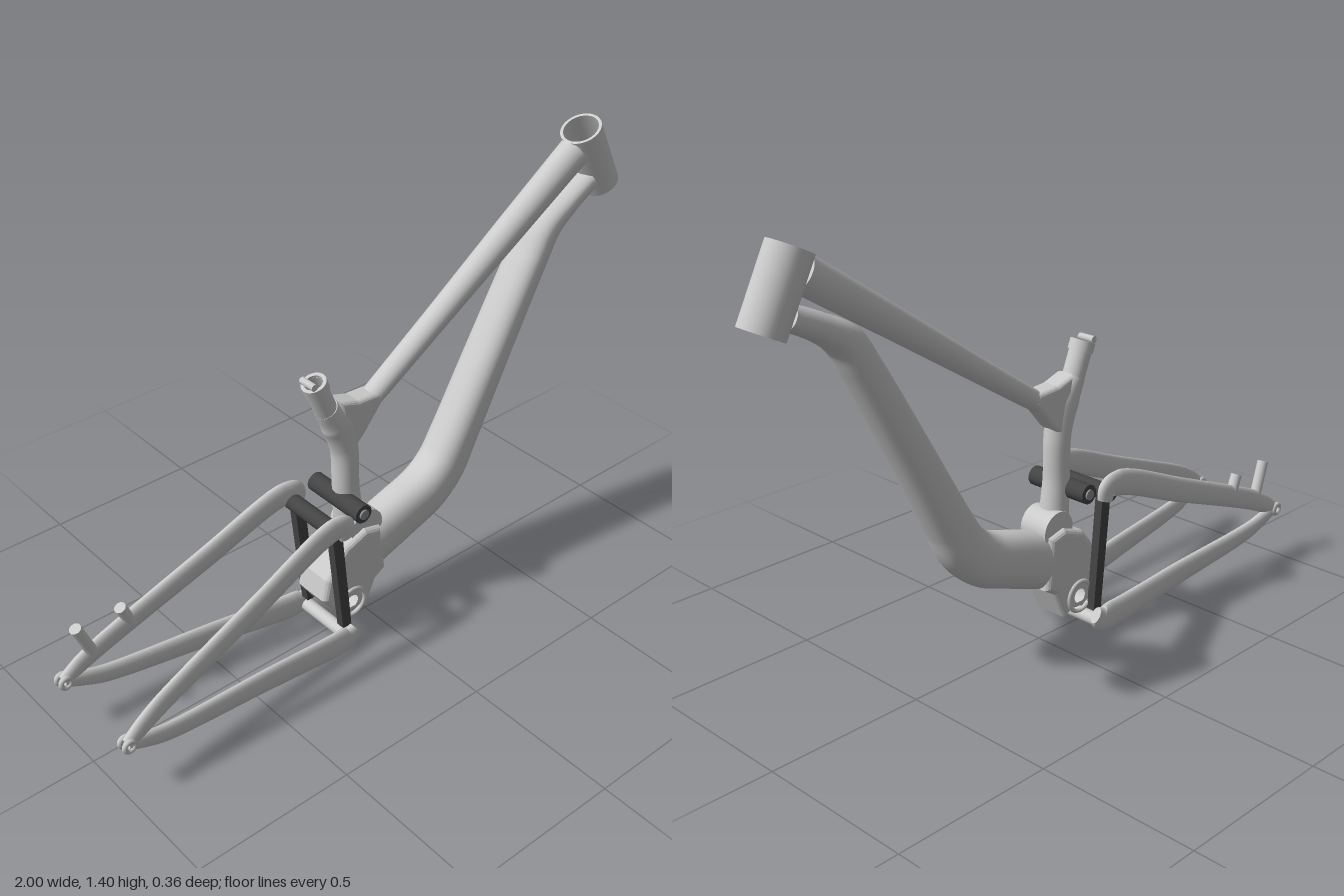
import * as THREE from 'three';

const grey = new THREE.MeshStandardMaterial({ color: 0xcccccc, side: THREE.DoubleSide });
const dark = new THREE.MeshStandardMaterial({ color: 0x444444, side: THREE.DoubleSide });
const steel = new THREE.MeshStandardMaterial({ color: 0x8a8f94 });

function add(group, name, geometry, material = grey) {
  const mesh = new THREE.Mesh(geometry, material);
  mesh.name = name;
  group.add(mesh);
  return mesh;
}

// Sweeps an oval section along stations [x, y, z, radius in the frame plane, radius across].
// power 2 is an ellipse, larger is squarer.
function ovalTube(stations, power = 2, steps = 48, sides = 28) {
  const path = new THREE.CatmullRomCurve3(stations.map(s => new THREE.Vector3(s[0], s[1], s[2])), false, 'centripetal');
  const lerp = THREE.MathUtils.lerp;
  const pos = [], idx = [];
  const rings = [];
  for (let i = 0; i <= steps; i++) {
    const u = i / steps * (stations.length - 1);
    const k = Math.min(Math.floor(u), stations.length - 2);
    const a = stations[k], b = stations[k + 1], f = u - k;
    const c = path.getPoint(i / steps), t = path.getTangent(i / steps);
    const n = new THREE.Vector3(-t.y, t.x, 0).normalize();
    const ring = [];
    for (let j = 0; j < sides; j++) {
      const w = j / sides * Math.PI * 2, e = 2 / power;
      const p = Math.sign(Math.cos(w)) * Math.abs(Math.cos(w)) ** e * lerp(a[3], b[3], f);
      const q = Math.sign(Math.sin(w)) * Math.abs(Math.sin(w)) ** e * lerp(a[4], b[4], f);
      ring.push([c.x + n.x * p, c.y + n.y * p, c.z + q]);
    }
    rings.push({ ring, c });
    ring.forEach(v => pos.push(...v));
  }
  for (let i = 0; i < steps; i++) for (let j = 0; j < sides; j++) {
    const a = i * sides + j, b = i * sides + (j + 1) % sides;
    idx.push(a, b, b + sides, a, b + sides, a + sides);
  }
  // Flat end caps
  [[rings[0], true], [rings[steps], false]].forEach(([r, start]) => {
    const base = pos.length / 3;
    pos.push(r.c.x, r.c.y, r.c.z);
    r.ring.forEach(v => pos.push(...v));
    for (let j = 0; j < sides; j++) {
      const a = base + 1 + j, b = base + 1 + (j + 1) % sides;
      idx.push(base, start ? b : a, start ? a : b);
    }
  });
  const g = new THREE.BufferGeometry();
  g.setAttribute('position', new THREE.Float32BufferAttribute(pos, 3));
  g.setIndex(idx);
  g.computeVertexNormals();
  return g;
}

// Solid rod between two points
function rod(a, b, r, sides = 24) {
  const p = new THREE.Vector3(...a), q = new THREE.Vector3(...b), d = q.clone().sub(p);
  const g = new THREE.CylinderGeometry(r, r, d.length(), sides);
  g.applyQuaternion(new THREE.Quaternion().setFromUnitVectors(new THREE.Vector3(0, 1, 0), d.clone().normalize()));
  return g.translate(...p.add(q).multiplyScalar(0.5).toArray());
}

// Hollow sleeve between two points in the frame plane
function sleeve(a, b, r, inner) {
  const h = Math.hypot(b[0] - a[0], b[1] - a[1]) / 2;
  const profile = [[inner, -h], [r, -h], [r, -h], [r, h], [r, h], [inner, h], [inner, h], [inner, -h]];
  const g = new THREE.LatheGeometry(profile.map(p => new THREE.Vector2(...p)), 40);
  g.rotateZ(Math.atan2(b[1] - a[1], b[0] - a[0]) - Math.PI / 2);
  return g.translate((a[0] + b[0]) / 2, (a[1] + b[1]) / 2, 0);
}

// Plate cut in the frame plane, centred on z = 0
function plate(points, depth, bevel, hole) {
  const s = new THREE.Shape(points.map(p => new THREE.Vector2(...p)));
  if (hole) s.holes.push(new THREE.Path().absarc(...hole, 0, Math.PI * 2, true));
  const g = new THREE.ExtrudeGeometry(s, {
    depth: depth - 2 * bevel, bevelEnabled: bevel > 0, bevelSize: bevel, bevelThickness: bevel,
    bevelOffset: -bevel, bevelSegments: 4, curveSegments: 32,
  });
  return g.translate(0, 0, bevel - depth / 2);
}

export function createModel() {
  const frame = new THREE.Group();
  frame.name = 'bicycleFrame';

  // Front triangle
  add(frame, 'headTube', sleeve([0.943, 1.187], [0.843, 1.385], 0.063, 0.054));
  add(frame, 'topTube', ovalTube([
    [0.82, 1.318, 0, 0.052, 0.047], [0.55, 1.14, 0, 0.045, 0.043],
    [0.28, 0.96, 0, 0.037, 0.038], [0, 0.775, 0, 0.03, 0.034], [-0.07, 0.73, 0, 0.03, 0.032]]));
  add(frame, 'downTube', ovalTube([
    [0.875, 1.22, 0, 0.035, 0.052], [0.77, 1.168, 0, 0.039, 0.06], [0.70, 1.12, 0, 0.048, 0.064],
    [0.65, 1.04, 0, 0.05, 0.066], [0.50, 0.77, 0, 0.058, 0.069], [0.36, 0.51, 0, 0.068, 0.071],
    [0.31, 0.425, 0, 0.076, 0.071], [0.24, 0.365, 0, 0.082, 0.071], [0.12, 0.32, 0, 0.086, 0.07],
    [-0.01, 0.275, 0, 0.09, 0.068]], 2.4, 90));
  add(frame, 'seatTube', ovalTube([
    [-0.145, 0.82, 0, 0.036, 0.036], [-0.105, 0.755, 0, 0.052, 0.042], [-0.08, 0.66, 0, 0.042, 0.04],
    [-0.075, 0.52, 0, 0.041, 0.04], [-0.065, 0.4, 0, 0.046, 0.045], [-0.06, 0.32, 0, 0.05, 0.05]]));
  add(frame, 'seatTubeTop', sleeve([-0.13, 0.78], [-0.185, 0.915], 0.034, 0.027));
  add(frame, 'seatClamp', sleeve([-0.175, 0.892], [-0.187, 0.922], 0.038, 0.027));
  add(frame, 'seatClampBolt', rod([-0.205, 0.925, -0.028], [-0.205, 0.925, 0.028], 0.011, 12));
  add(frame, 'seatGusset', plate([
    [-0.115, 0.84], [-0.05, 0.82], [0.03, 0.815], [0.045, 0.785], [-0.03, 0.695], [-0.08, 0.65]], 0.07, 0.015));
  add(frame, 'seatTubeBoss', rod([-0.035, 0.375, -0.05], [-0.035, 0.375, 0.05], 0.06));

  // Bottom bracket housing and shell
  const axle = [-0.11, 0.14];
  add(frame, 'bottomBracketHousing', plate([
    [-0.215, 0.19], [-0.2, 0.26], [-0.17, 0.3], [-0.13, 0.35], [-0.05, 0.38], [0.01, 0.365],
    [0.03, 0.2], [-0.01, 0.175], [-0.05, 0.085], [-0.09, 0.1], [-0.15, 0.1], [-0.175, 0.13]], 0.136, 0.02, [...axle, 0.043]));
  const shell = new THREE.TorusGeometry(0.048, 0.007, 8, 36);
  for (const s of [1, -1]) add(frame, 'bottomBracketRim', shell.clone().translate(...axle, s * 0.068));

  // Suspension links and pivots
  add(frame, 'rockerPivot', rod([-0.1, 0.49, -0.11], [-0.1, 0.49, 0.11], 0.03), dark);
  add(frame, 'upperLinkBar', rod([-0.195, 0.465, -0.115], [-0.195, 0.465, 0.115], 0.026), dark);
  add(frame, 'lowerPivotBar', rod([-0.155, 0.052, -0.115], [-0.155, 0.052, 0.115], 0.021));

  for (const s of [1, -1]) {
    const side = new THREE.Group();
    side.name = s > 0 ? 'leftRearSide' : 'rightRearSide';
    frame.add(side);
    add(side, 'pivotBolt', rod([-0.1, 0.49, s * 0.108], [-0.1, 0.49, s * 0.116], 0.016, 12), steel);
    add(side, 'link', plate([[-0.208, 0.45], [-0.172, 0.45], [-0.14, 0.09], [-0.172, 0.09]], 0.028, 0)
      .translate(0, 0, s * 0.085), dark);
    add(side, 'seatStay', ovalTube([
      [-0.168, 0.45, s * 0.113, 0.028, 0.017], [-0.178, 0.485, s * 0.113, 0.036, 0.018],
      [-0.23, 0.492, s * 0.115, 0.042, 0.018], [-0.5, 0.39, s * 0.131, 0.04, 0.017],
      [-0.85, 0.255, s * 0.152, 0.035, 0.016], [-0.92, 0.22, s * 0.157, 0.031, 0.016],
      [-0.975, 0.187, s * 0.16, 0.022, 0.016]]));
    add(side, 'chainStay', ovalTube([
      [-0.975, 0.187, s * 0.16, 0.02, 0.015], [-0.91, 0.163, s * 0.157, 0.026, 0.016],
      [-0.84, 0.142, s * 0.153, 0.031, 0.016], [-0.5, 0.1, s * 0.133, 0.041, 0.017],
      [-0.2, 0.06, s * 0.115, 0.048, 0.018], [-0.16, 0.062, s * 0.113, 0.042, 0.018],
      [-0.135, 0.08, s * 0.112, 0.026, 0.016]]));
    const dropout = new THREE.TorusGeometry(0.016, 0.008, 8, 24);
    for (const o of [-0.012, 0.012]) add(side, 'dropoutRing', dropout.clone().translate(-0.976, 0.187, s * 0.16 + o));
  }

  // Brake mounts on the right seat stay
  add(frame, 'rearBrakeMount', rod([-0.93, 0.365, -0.14], [-0.885, 0.255, -0.147], 0.018, 16));
  add(frame, 'frontBrakeMount', rod([-0.785, 0.36, -0.14], [-0.75, 0.285, -0.144], 0.018, 16));

  return frame;
}
